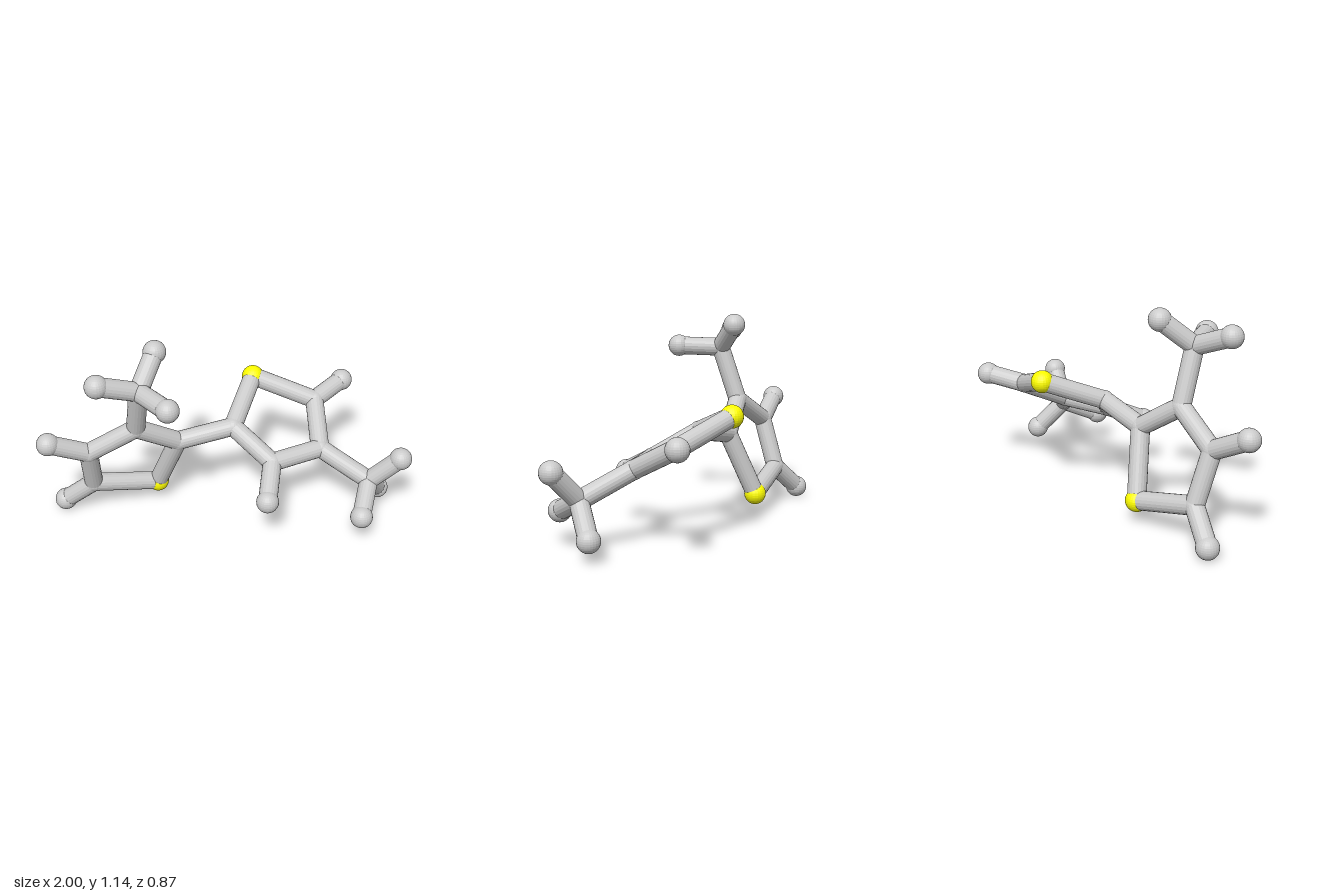
import * as THREE from 'three';

const BOND_RADIUS = 0.051;
const RADII = { carbon: 0.053, hydrogen: 0.061, sulfur: 0.061 };

// Atom centres of the two five-sided rings, each with a methyl branch
const ATOMS = {
  leftSulfur: [0.217, 0.67, -0.357],
  leftCarbon1: [0.06, 0.545, -0.06],
  leftCarbon2: [0.25, 0.41, 0.115],
  leftCarbon3: [0.535, 0.41, 0.025],
  leftCarbon4: [0.555, 0.55, -0.25],
  leftMethylCarbon: [0.782, 0.28, 0.183],
  leftHydrogen2: [0.19, 0.308, 0.323],
  leftHydrogen4: [0.737, 0.588, -0.373],
  leftMethylHydrogenA: [0.935, 0.444, 0.228],
  leftMethylHydrogenB: [0.7, 0.186, 0.375],
  leftMethylHydrogenC: [0.877, 0.117, 0.05],
  rightSulfur: [-0.355, 0.13, -0.172],
  rightCarbon1: [-0.245, 0.482, -0.058],
  rightCarbon2: [-0.475, 0.64, 0.018],
  rightCarbon3: [-0.735, 0.49, -0.005],
  rightCarbon4: [-0.72, 0.213, -0.1],
  rightMethylCarbon: [-0.455, 0.938, 0.12],
  rightHydrogen3: [-0.943, 0.597, 0.037],
  rightHydrogen4: [-0.885, 0.065, -0.16],
  rightMethylHydrogenA: [-0.355, 1.078, -0.028],
  rightMethylHydrogenB: [-0.666, 1.023, 0.173],
  rightMethylHydrogenC: [-0.327, 0.947, 0.323],
};

const RING = ['Sulfur', 'Carbon1', 'Carbon2', 'Carbon3', 'Carbon4'];

export function createModel() {
  const model = new THREE.Group();
  const grey = new THREE.MeshStandardMaterial({ color: 0xcccccc, flatShading: true });
  const yellow = new THREE.MeshStandardMaterial({ color: 0xffff00, flatShading: true });
  const up = new THREE.Vector3(0, 1, 0);

  // Balls
  for (const [name, position] of Object.entries(ATOMS)) {
    const kind = ['sulfur', 'hydrogen', 'carbon'].find((k) => name.toLowerCase().includes(k));
    const ball = new THREE.Mesh(
      new THREE.SphereGeometry(RADII[kind], 24, 16),
      kind === 'sulfur' ? yellow : grey
    );
    ball.position.set(...position);
    ball.name = name;
    model.add(ball);
  }

  // Straight rod between two balls
  function bond(from, to) {
    const a = new THREE.Vector3(...ATOMS[from]);
    const b = new THREE.Vector3(...ATOMS[to]);
    const axis = b.clone().sub(a);
    const rod = new THREE.Mesh(
      new THREE.CylinderGeometry(BOND_RADIUS, BOND_RADIUS, axis.length(), 20),
      grey
    );
    rod.position.copy(a).add(b).multiplyScalar(0.5);
    rod.quaternion.setFromUnitVectors(up, axis.normalize());
    rod.name = `bond ${from} to ${to}`;
    model.add(rod);
  }

  // Rings and methyl branches
  for (const [side, methylSite, plainSites] of [['left', 3, [2, 4]], ['right', 2, [3, 4]]]) {
    RING.forEach((part, i) => bond(side + part, side + RING[(i + 1) % RING.length]));
    plainSites.forEach((n) => bond(`${side}Carbon${n}`, `${side}Hydrogen${n}`));
    bond(`${side}Carbon${methylSite}`, `${side}MethylCarbon`);
    for (const h of 'ABC') bond(`${side}MethylCarbon`, `${side}MethylHydrogen${h}`);
  }

  // Bridge between the rings
  bond('leftCarbon1', 'rightCarbon1');

  return model;
}
